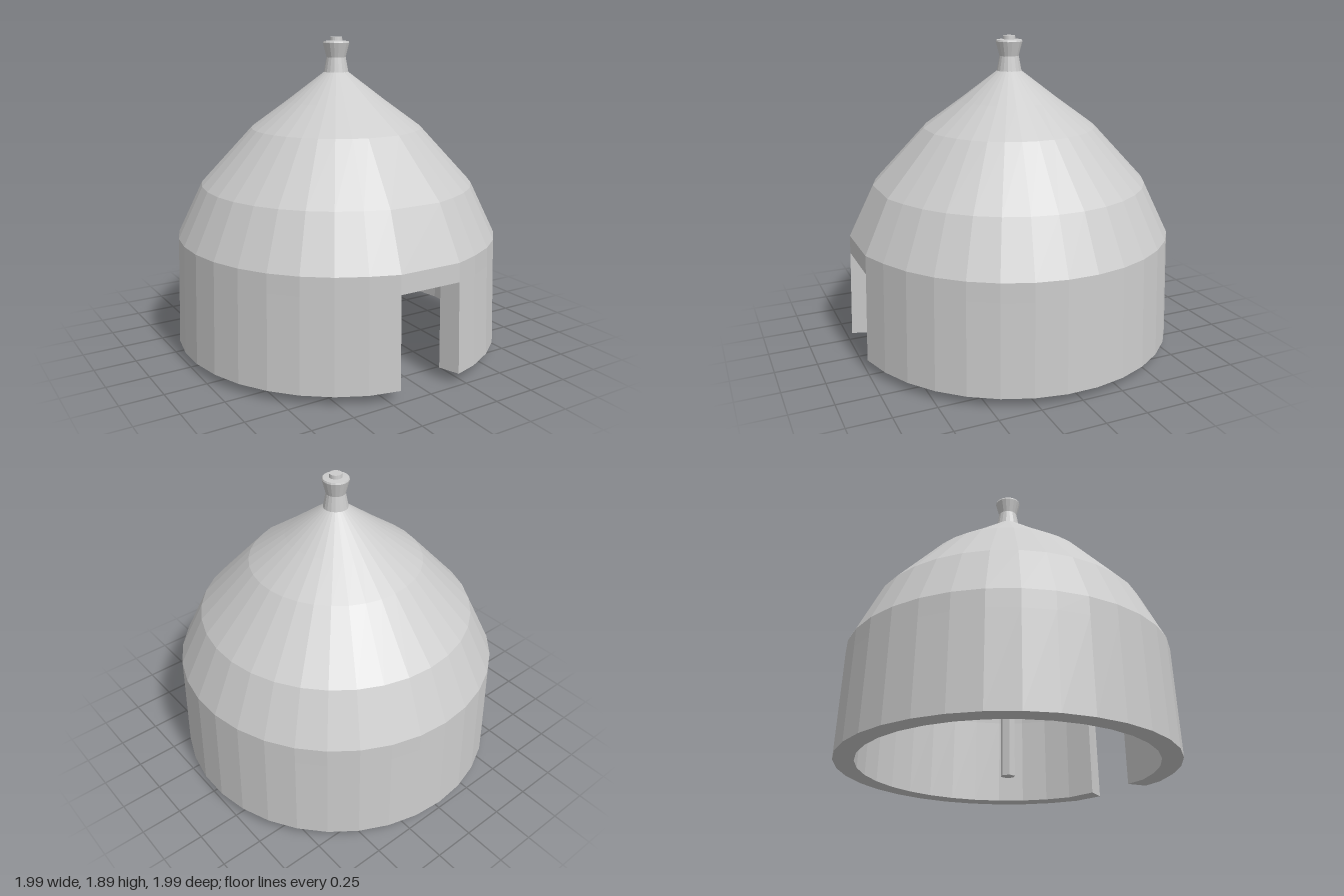
import * as THREE from 'three';

const SIDES = 34;
// Wall section [radius, y]: down the outside, then up the inside
const SECTION = [
  [0.07, 1.69], [0.3, 1.515], [0.52, 1.355], [0.83, 1.02], [0.98, 0.71], [0.983, 0.6], [1, 0.055],
  [0.88, 0.055], [0.87, 0.6], [0.865, 0.68], [0.73, 0.96], [0.45, 1.26], [0.25, 1.41], [0, 1.6],
];
const OUT_TOP = 5, OUT_FOOT = 6, IN_FOOT = 7, IN_TOP = 8; // door corners in the section

// Point of the shell; the two columns beside the door make one wide flat front panel
function shellPoint(row, column) {
  const [r, y] = SECTION[row];
  const angle = (column / SIDES) * Math.PI * 2;
  if (column === 1 || column === SIDES - 1) {
    const spread = row < IN_FOOT ? 0.198 : 0.176;
    const lift = row === OUT_FOOT || row === IN_FOOT ? 0.012 : 0;
    return [Math.sign(Math.sin(angle)) * spread * r, y + lift, r * 0.993];
  }
  return [r * Math.sin(angle), y, r * Math.cos(angle)];
}

function shellGeometry() {
  const positions = [];
  const quad = (a, b, c, d) => positions.push(...a, ...b, ...c, ...a, ...c, ...d);
  const panel = (upper, lower, left, right) => quad(
    shellPoint(lower, left), shellPoint(lower, right),
    shellPoint(upper, right), shellPoint(upper, left));

  for (let row = 0; row < SECTION.length - 1; row++) {
    for (let c = 1; c < SIDES - 1; c++) panel(row, row + 1, c, c + 1);
    // Front panel, left open at the doorway
    if (row < OUT_TOP || row >= IN_TOP) panel(row, row + 1, SIDES - 1, 1);
  }

  // Door lintel and jambs
  panel(OUT_TOP, IN_TOP, SIDES - 1, 1);
  const jamb = [IN_FOOT, OUT_FOOT, OUT_TOP, IN_TOP];
  quad(...jamb.map((row) => shellPoint(row, 1)));
  quad(...jamb.reverse().map((row) => shellPoint(row, SIDES - 1)));

  const geometry = new THREE.BufferGeometry();
  geometry.setAttribute('position', new THREE.Float32BufferAttribute(positions, 3));
  geometry.computeVertexNormals();
  return geometry;
}

export function createModel() {
  const group = new THREE.Group();
  group.name = 'hut';
  const material = new THREE.MeshStandardMaterial({ color: 0xcccccc, flatShading: true });
  const add = (name, geometry, y = 0) => {
    const mesh = new THREE.Mesh(geometry, material);
    mesh.name = name;
    mesh.position.y = y;
    group.add(mesh);
  };

  add('wallAndRoof', shellGeometry());

  // Hexagonal post standing under the roof
  add('centrePole', new THREE.CylinderGeometry(0.042, 0.042, 1.6, 6), 0.8);

  // Flared roof ornament with a small stepped cap
  const finial = [
    [0, 1.685], [0.075, 1.685], [0.058, 1.775], [0.08, 1.86],
    [0.076, 1.87], [0.038, 1.873], [0.036, 1.895], [0, 1.895],
  ].map(([r, y]) => new THREE.Vector2(r, y));
  add('finial', new THREE.LatheGeometry(finial, 18));

  return group;
}
